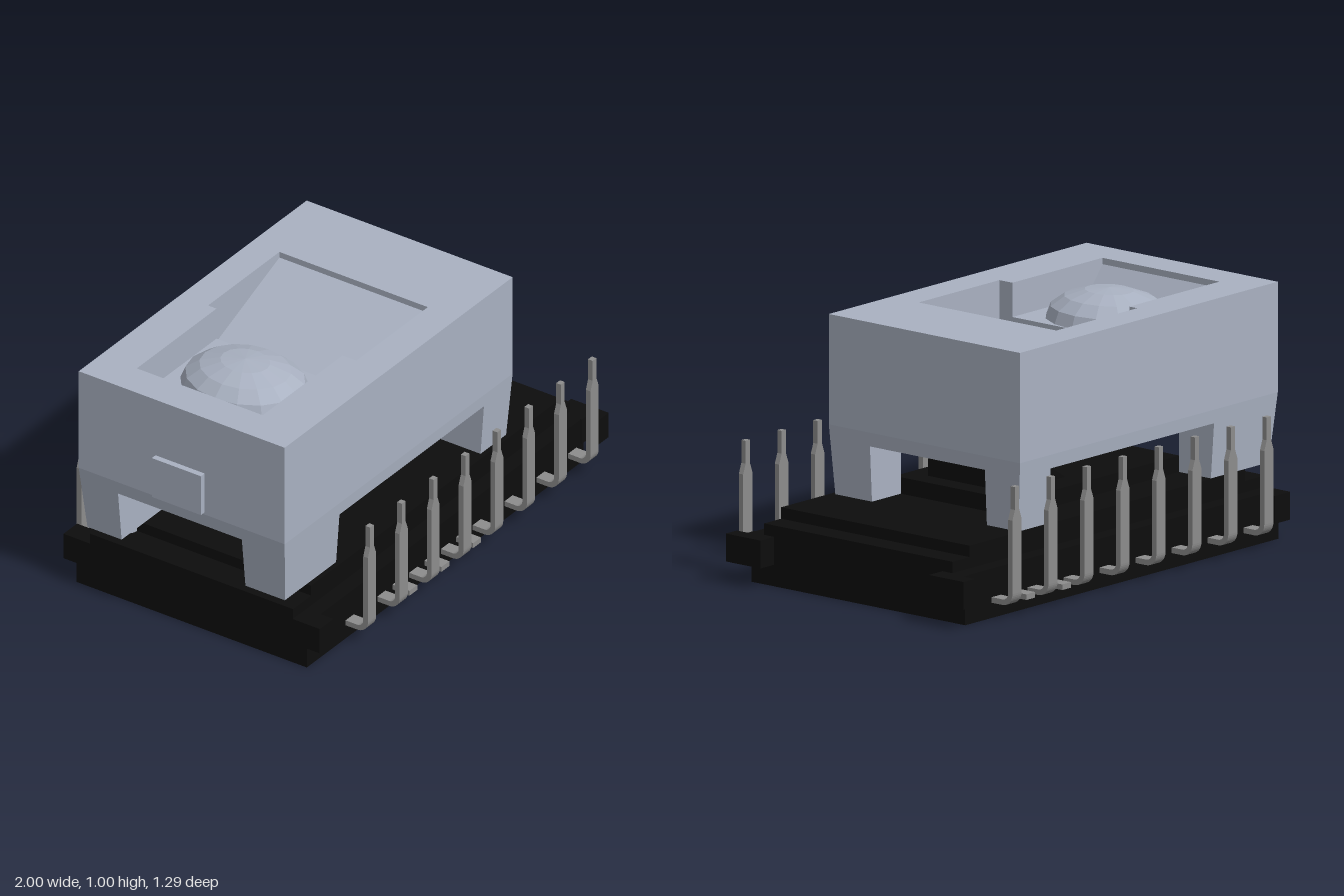
import * as THREE from 'three';

export function createModel() {
  const model = new THREE.Group();
  model.name = 'opticalSensorModule';
  const grey = new THREE.MeshStandardMaterial({ color: 0xa9b1c1 });
  grey.name = 'housing grey';
  const black = new THREE.MeshStandardMaterial({ color: 0x0d0d0d });
  black.name = 'base black';
  const metal = new THREE.MeshStandardMaterial({ color: 0x8c8c8c });
  metal.name = 'pin metal';

  const add = (parent, name, geometry, material) => {
    const mesh = new THREE.Mesh(geometry, material);
    mesh.name = name;
    parent.add(mesh);
    return mesh;
  };
  const group = (name) => {
    const g = new THREE.Group();
    g.name = name;
    model.add(g);
    return g;
  };
  // Block between two heights; bottom and top are [x0, x1, z0, z1].
  const loft = (y0, y1, bottom, top = bottom) => {
    const g = new THREE.BoxGeometry(1, 1, 1);
    const p = g.attributes.position;
    for (let i = 0; i < p.count; i++) {
      const up = p.getY(i) > 0;
      const r = up ? top : bottom;
      p.setXYZ(i, p.getX(i) < 0 ? r[0] : r[1], up ? y1 : y0, p.getZ(i) < 0 ? r[2] : r[3]);
    }
    g.computeVertexNormals();
    return g;
  };
  // Outline in x and y, extruded from z0 to z1.
  const prism = (points, z0, z1) => {
    const shape = new THREE.Shape(points.map(([x, y]) => new THREE.Vector2(x, y)));
    return new THREE.ExtrudeGeometry(shape, { depth: z1 - z0, bevelEnabled: false }).translate(0, 0, z0);
  };

  // Stepped base
  const base = group('base');
  add(base, 'basePlate', loft(0, 0.195, [-0.92, 0.92, -0.54, 0.54]), black);
  add(base, 'baseDeck', loft(0.195, 0.24, [-0.92, 0.92, -0.475, 0.475]), black);
  add(base, 'baseUpperDeck', loft(0.24, 0.285, [-0.8, 0.82, -0.475, 0.475]), black);
  add(base, 'basePlinth', loft(0.285, 0.35, [-0.605, 0.355, -0.31, 0.27]), black);
  add(base, 'wedgeBlock', prism([[-0.06, 0.35], [0.27, 0.35], [0.27, 0.48], [0.15, 0.48]], -0.205, 0.205), black);
  for (const s of [-1, 1]) {
    const z = (a, b) => (s > 0 ? [a, b] : [-b, -a]);
    add(base, 'endLug', loft(0.085, 0.195, [0.9, 1, ...z(0.425, 0.545)]), black);
    add(base, 'endLugTip', loft(0.085, 0.195, [0.935, 1, ...z(0.54, 0.6)]), black);
    add(base, 'cornerLug', loft(0.085, 0.195, [-0.92, -0.83, ...z(0.53, 0.6)]), black);
  }

  // Housing walls with the joined outline of both pockets cut out
  const housing = group('housing');
  const X0 = -0.975, X1 = 0.54, Z0 = -0.49, Z1 = 0.475, MID = -0.3, POCKET = 0.74;
  const full = [X0, X1, Z0, Z1];
  const v = ([x, z]) => new THREE.Vector2(x, -z);
  const outline = new THREE.Shape([[X0, Z1], [X1, Z1], [X1, Z0], [X0, Z0]].map(v));
  outline.holes.push(new THREE.Path([
    [-0.83, 0.27], [-0.83, -0.32], [MID, -0.32], [MID, -0.36],
    [0.175, -0.36], [0.175, 0.335], [MID, 0.335], [MID, 0.27],
  ].map(v)));
  const walls = new THREE.ExtrudeGeometry(outline, { depth: 0.995 - POCKET, bevelEnabled: false });
  walls.rotateX(-Math.PI / 2).translate(0, POCKET, 0);
  add(housing, 'housingWalls', walls, grey);
  add(housing, 'housingCore', loft(0.56, POCKET, full), grey);
  add(housing, 'housingSkirt', loft(0.505, 0.56, [-0.969, 0.537, -0.486, 0.471], full), grey);

  // Pocket floors: flat under the lens, ramp beside it
  add(housing, 'lensFloor', loft(POCKET, 0.86, [-0.83, MID, -0.32, 0.27]), grey);
  add(housing, 'lensPocketSlope', prism([[-0.83, 0.86], [-0.74, 0.86], [-0.83, 0.97]], -0.32, 0.27), grey);
  add(housing, 'pocketRamp', prism([[MID, POCKET], [0.175, POCKET], [0.175, 0.97], [MID, 0.78]], -0.36, 0.335), grey);

  // Faceted lens dome
  const dome = new THREE.SphereGeometry(1, 16, 4, 0, Math.PI * 2, 0, Math.PI / 2).toNonIndexed();
  dome.scale(0.22, 0.125, 0.265);
  dome.computeVertexNormals();
  add(housing, 'lens', dome, grey).position.set(-0.52, 0.86, -0.03);

  // Tapered corner legs
  const legsX = [[-0.945, -0.605, -0.969, -0.605], [0.355, 0.525, 0.355, 0.537]];
  const legsZ = [[-0.47, -0.31, -0.486, -0.31], [0.27, 0.455, 0.27, 0.471]];
  for (const [a, b, c, d] of legsX) {
    for (const [e, f, g, h] of legsZ) {
      add(housing, 'cornerLeg', loft(0.285, 0.505, [a, b, e, f], [c, d, g, h]), grey);
    }
  }
  add(housing, 'sidePad', loft(0.57, 0.745, [-1, X0, -0.13, 0.1]), grey);
  for (const z of [-0.39, 0.36]) {
    const peg = new THREE.CylinderGeometry(0.05, 0.05, 0.045, 16);
    add(housing, 'locatingPeg', peg, grey).position.set(-0.8, 0.2625, z);
  }
  add(housing, 'upperNub', loft(0.46, 0.505, [-0.377, -0.353, -0.04, -0.015]), grey);
  add(housing, 'lowerNub', loft(0.35, 0.38, [-0.377, -0.353, -0.04, -0.015]), grey);

  // Pin: bent foot, straight shank, tapered neck and narrow tip
  const bend = new THREE.Shape();
  bend.moveTo(0.52, 0.06);
  bend.lineTo(0.595, 0.06);
  bend.absarc(0.595, 0.11, 0.05, -Math.PI / 2, 0, false);
  bend.lineTo(0.645, 0.4);
  bend.lineTo(0.623, 0.4);
  bend.lineTo(0.623, 0.11);
  bend.absarc(0.595, 0.11, 0.028, 0, -Math.PI / 2, true);
  bend.lineTo(0.52, 0.082);
  const shank = new THREE.ExtrudeGeometry(bend, { depth: 0.054, bevelEnabled: false, curveSegments: 5 });
  shank.translate(0, 0, -0.027).rotateY(-Math.PI / 2);
  const wide = [-0.027, 0.027, 0.623, 0.645], narrow = [-0.0125, 0.0125, 0.623, 0.645];
  const neck = loft(0.4, 0.44, wide, narrow);
  const tip = loft(0.44, 0.53, narrow);
  const stub = loft(0.063, 0.085, [-0.026, 0.026, 0.52, 0.62]);

  const pinRow = (name, firstX, stubXs, side) => {
    const row = group(name);
    const place = (part, geometry, x) => {
      const mesh = add(row, part, geometry, metal);
      mesh.position.x = x;
      if (side < 0) mesh.rotation.y = Math.PI;
    };
    for (let i = 0; i < 8; i++) {
      const x = firstX + i * 0.2114;
      place('pinShank', shank, x);
      place('pinNeck', neck, x);
      place('pinTip', tip, x);
    }
    for (const x of stubXs) place('cutPinStub', stub, x);
  };
  pinRow('frontPins', -0.636, [-0.325, -0.113, 0.098], 1);
  pinRow('backPins', -0.742, [0.417, 0.628], -1);

  return model;
}
